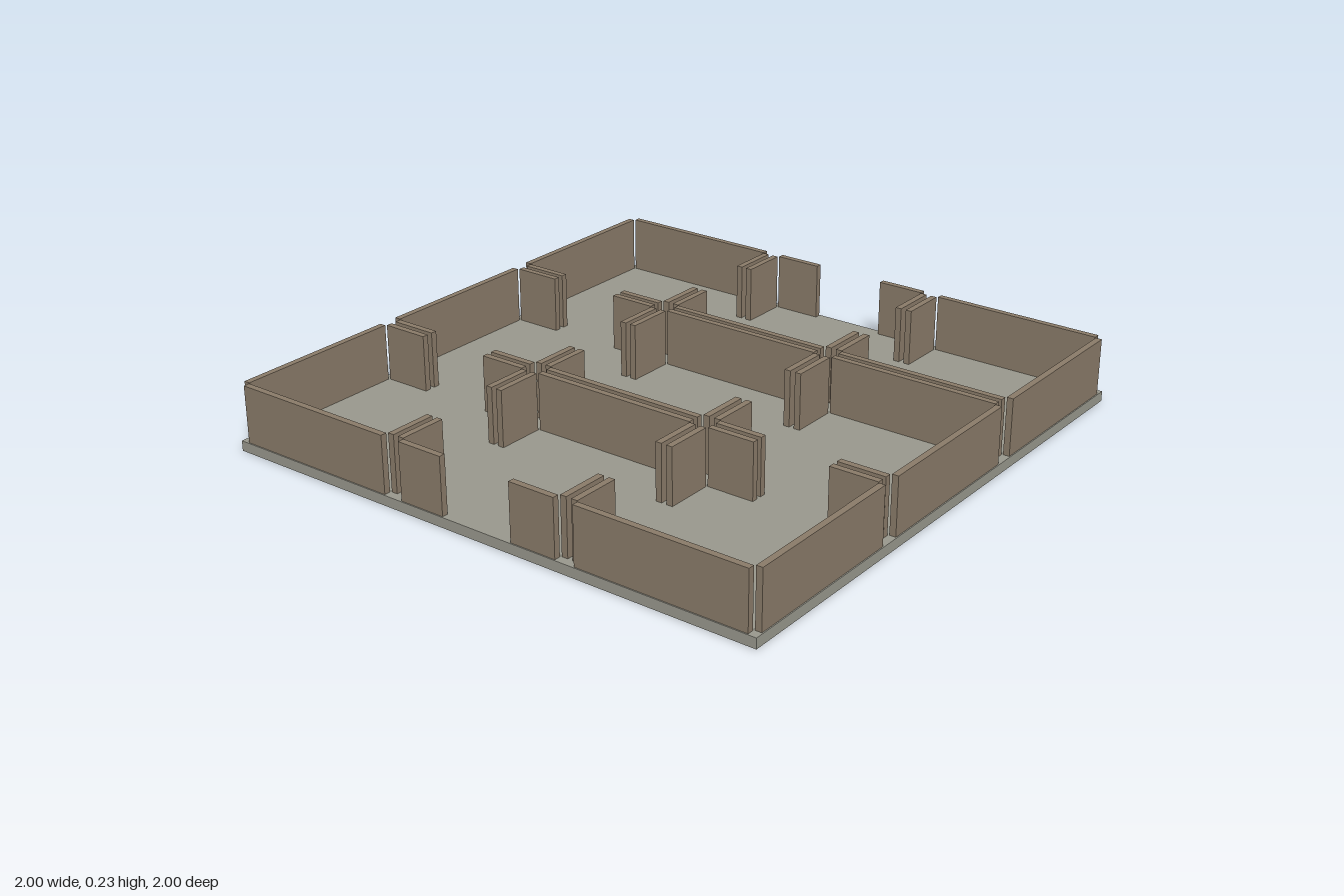
import * as THREE from 'three';

const PITCH = 0.67;      // room spacing
const OFFSET = 0.315;    // wall centre line from the room centre
const HALF = 0.3;        // half length of a wall
const DOOR = 0.133;      // half width of a doorway
const THICK = 0.022;
const FLOOR_TOP = 0.035;
const WALL_HEIGHT = 0.197;

// Walls of each room in the order back, right, front, left: W = solid, D = doorway
const ROOMS = [
  ['WDDW', 'DDWD', 'WWWD'],
  ['DDDW', 'WDWD', 'WWDD'],
  ['DDWW', 'WDDD', 'DWWD'],
];
const SIDES = ['back', 'right', 'front', 'left'];

export function createModel() {
  const stone = new THREE.MeshStandardMaterial({ color: 0x98978c });
  stone.name = 'floor stone';
  const brown = new THREE.MeshStandardMaterial({ color: 0x897a68 });
  brown.name = 'wall brown';

  const model = new THREE.Group();
  model.name = 'roomGrid';

  // Floor slab
  const floor = new THREE.Mesh(new THREE.BoxGeometry(2, FLOOR_TOP, 2), stone);
  floor.name = 'floor';
  floor.position.y = FLOOR_TOP / 2;
  model.add(floor);

  // One straight piece of wall, spanning a to b along the room side
  const addPiece = (parent, a, b, name) => {
    const piece = new THREE.Mesh(new THREE.BoxGeometry(b - a, WALL_HEIGHT, THICK), brown);
    piece.name = name;
    piece.position.set((a + b) / 2, FLOOR_TOP + WALL_HEIGHT / 2, -OFFSET);
    parent.add(piece);
  };

  // Nine rooms, each with its own four walls
  ROOMS.forEach((row, r) => row.forEach((walls, c) => {
    const room = new THREE.Group();
    room.name = `room${r + 1}${c + 1}`;
    room.position.set((c - 1) * PITCH, 0, (r - 1) * PITCH);
    SIDES.forEach((side, i) => {
      const wall = new THREE.Group();
      wall.name = `${side}Wall`;
      wall.rotation.y = -i * Math.PI / 2;
      if (walls[i] === 'W') {
        addPiece(wall, -HALF, HALF, 'solidWall');
      } else {
        addPiece(wall, -HALF, -DOOR, 'doorwayWallA');
        addPiece(wall, DOOR, HALF, 'doorwayWallB');
      }
      room.add(wall);
    });
    model.add(room);
  }));

  return model;
}
